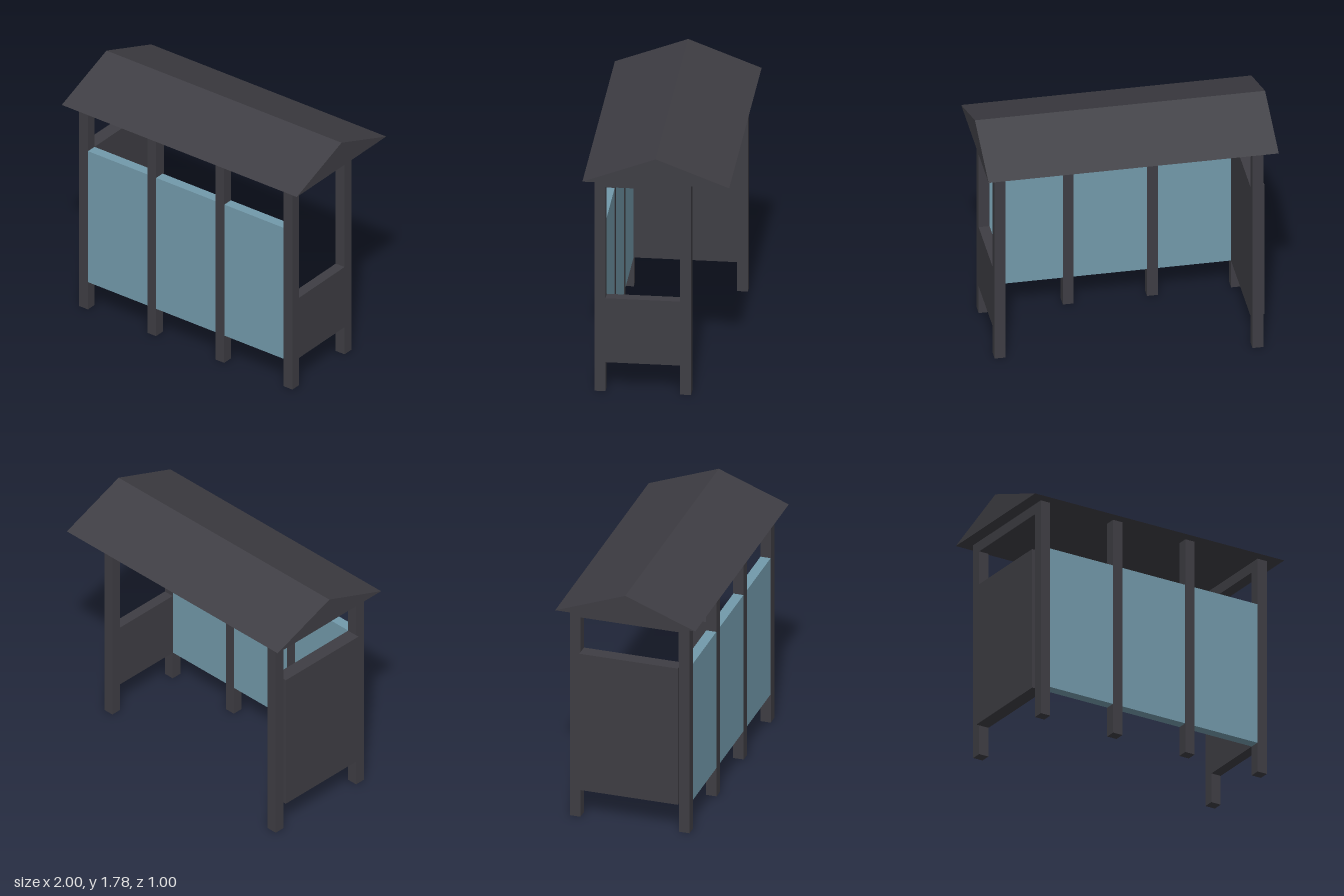
import * as THREE from 'three';

export function createModel() {
  const frameMat = new THREE.MeshStandardMaterial({ color: 0x3e3d43 });
  frameMat.name = 'dark metal';
  const glassMat = new THREE.MeshStandardMaterial({ color: 0x7299aa });
  glassMat.name = 'blue glass';

  const model = new THREE.Group();
  model.name = 'shelter';

  // Box given by its minimum and maximum on each axis
  const box = (name, mat, [x0, x1], [y0, y1], [z0, z1]) => {
    const mesh = new THREE.Mesh(new THREE.BoxGeometry(x1 - x0, y1 - y0, z1 - z0), mat);
    mesh.position.set((x0 + x1) / 2, (y0 + y1) / 2, (z0 + z1) / 2);
    mesh.name = name;
    model.add(mesh);
  };

  const half = 0.0375; // half a post's width
  const span = (c) => [c - half, c + half];
  const eave = 1.59, beamBottom = 1.515, panelBottom = 0.215, panelTop = 1.25;
  const frontZ = 0.39, backLeftZ = -0.193, backRightZ = -0.388;
  const postX = [-0.87, -0.29, 0.29, 0.87];

  // Posts: four along the front, one behind each end
  postX.forEach((x) => box('frontPost', frameMat, span(x), [0, eave], span(frontZ)));
  box('backPostLeft', frameMat, span(0.87), [0, eave], span(backLeftZ));
  box('backPostRight', frameMat, span(-0.87), [0, eave], span(backRightZ));

  // Top beams joining the end posts
  const inFront = frontZ - half;
  box('endBeamLeft', frameMat, span(0.87), [beamBottom, eave], [backLeftZ + half, inFront]);
  box('endBeamRight', frameMat, span(-0.87), [beamBottom, eave], [backRightZ + half, inFront]);

  // End walls: low on the left, tall and thicker on the right
  box('lowEndPanel', frameMat, span(0.87), [panelBottom, 0.69], [backLeftZ + half, inFront]);
  box('tallEndPanel', frameMat, [-0.93, -0.832], [panelBottom, panelTop], [backRightZ + half, inFront]);

  // Glass panes between the front posts
  for (let i = 0; i < 3; i++) {
    box('glassPane', glassMat, [postX[i] + half, postX[i + 1] - half],
      [panelBottom, panelTop], [frontZ - 0.036, frontZ + 0.036]);
  }

  // Gabled roof: a triangular prism running along x
  const gable = new THREE.Shape([
    new THREE.Vector2(-0.5, eave),
    new THREE.Vector2(0.5, eave),
    new THREE.Vector2(0, 1.78),
  ]);
  const roofGeo = new THREE.ExtrudeGeometry(gable, { depth: 2, bevelEnabled: false });
  roofGeo.translate(0, 0, -1).rotateY(Math.PI / 2);
  const roof = new THREE.Mesh(roofGeo, frameMat);
  roof.name = 'roof';
  model.add(roof);

  return model;
}
